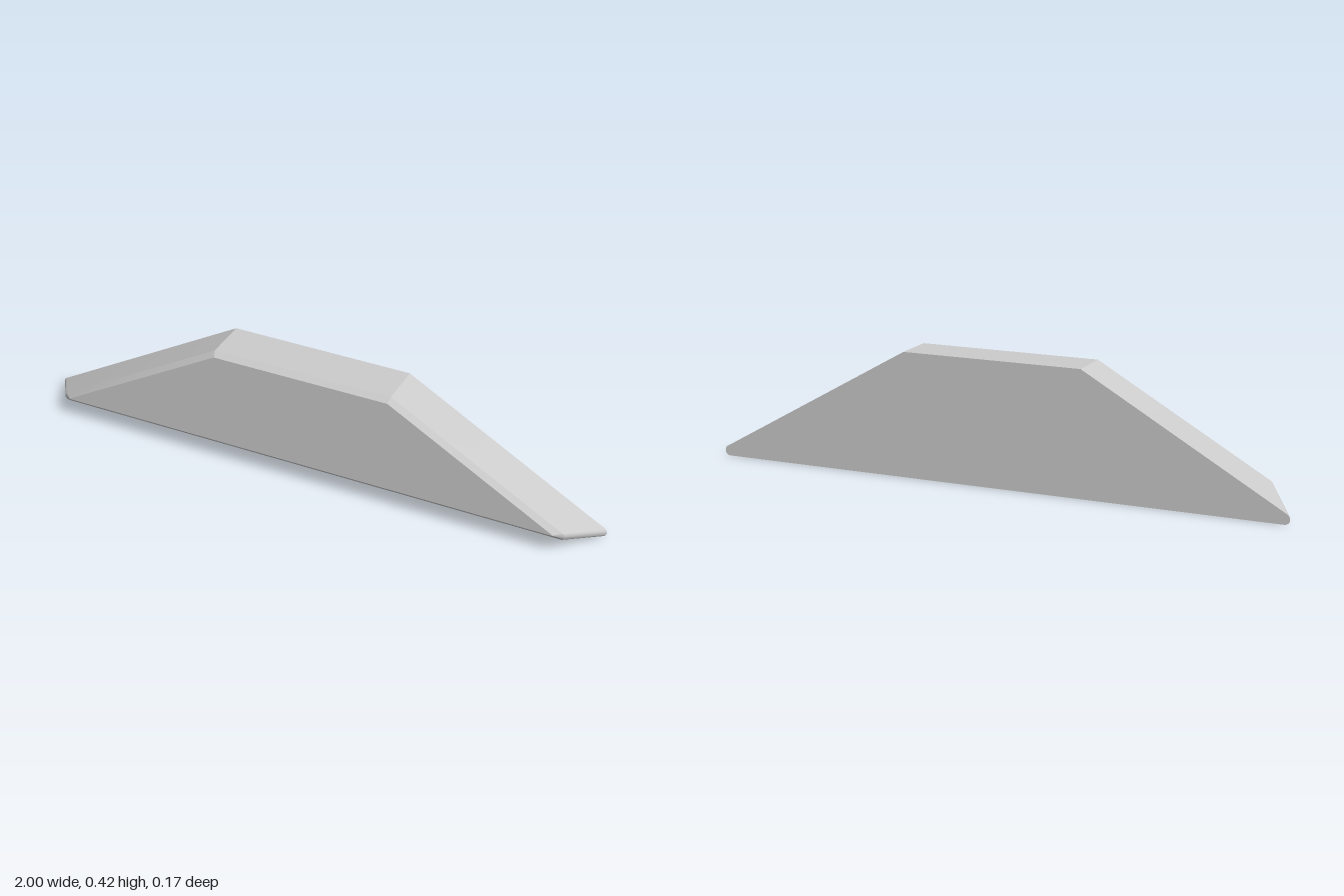
import * as THREE from 'three';
import { toCreasedNormals } from 'three/addons/utils/BufferGeometryUtils.js';

const BACK = -0.083, FRONT = 0.083, TOP = 0.424, TOP_HALF = 0.31;
const RADIUS = 0.018, BEVEL = 0.0167, RISE = 0.377, SLOPE = 0.573, STEPS = 14;

// Trapezoid outline with rounded lower corners; the underside rises towards the front.
// zAt gives the depth of each point, with t = 0 on the slope and 1 on the underside.
function ring(zAt, inset) {
  const r = RADIUS - inset;
  const half = [];
  const start = -Math.PI / 2, end = Math.PI / 2 - Math.atan(SLOPE);
  for (let i = 0; i <= STEPS; i++) {
    const a = start + (end - start) * i / STEPS;
    const z = zAt((Math.sin(end) - Math.sin(a)) / (Math.sin(end) + 1));
    const lift = RISE * (z - BACK);
    half.push([0.982 - lift / SLOPE + r * Math.cos(a), RADIUS + lift + r * Math.sin(a), z]);
  }
  half.push([TOP_HALF - inset * Math.tan(Math.atan(SLOPE) / 2), TOP - inset, zAt(0)]);
  const mirrored = half.map(([x, y, z]) => [-x, y, z]).reverse();
  return [...half, ...mirrored];
}

export function createModel() {
  const rings = [
    ring(() => BACK, 0),
    ring((t) => FRONT - BEVEL - 0.012 * t, 0), // where the front bevel begins
    ring(() => FRONT, BEVEL),
  ];
  const n = rings[0].length;
  const positions = rings.flat(2);
  const index = [];

  // Walls and bevel
  for (let k = 0; k < rings.length - 1; k++) {
    for (let i = 0; i < n; i++) {
      const j = (i + 1) % n;
      const a = k * n + i, b = k * n + j, c = a + n, d = b + n;
      index.push(a, b, d, a, d, c);
    }
  }
  // Flat back and front faces
  const last = (rings.length - 1) * n;
  for (let i = 1; i < n - 1; i++) {
    index.push(0, i + 1, i);
    index.push(last, last + i, last + i + 1);
  }

  const geometry = new THREE.BufferGeometry();
  geometry.setAttribute('position', new THREE.Float32BufferAttribute(positions, 3));
  geometry.setIndex(index);

  const wedge = new THREE.Mesh(
    toCreasedNormals(geometry, THREE.MathUtils.degToRad(18)),
    new THREE.MeshStandardMaterial({ color: 0xcccccc })
  );
  wedge.name = 'bevelledTrapezoidBlock';

  const group = new THREE.Group();
  group.name = 'trapezoidBlock';
  group.add(wedge);
  return group;
}
